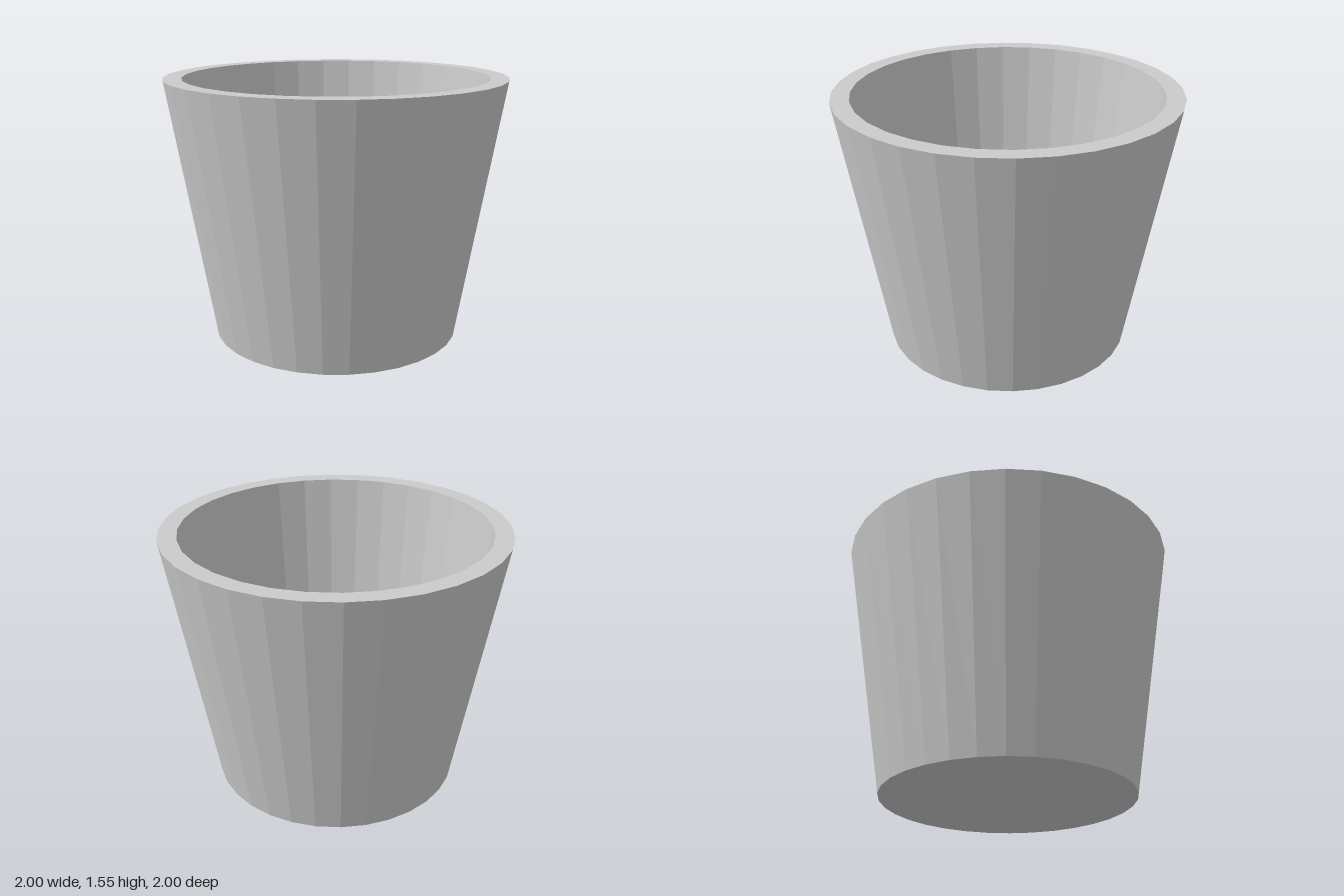
import * as THREE from 'three';

const SIDES = 32;
const HEIGHT = 1.55;
const FLOOR = 0.14;
const R = { base: 0.74, rim: 1, innerRim: 0.893, floor: 0.735 };

export function createModel() {
  const group = new THREE.Group();
  group.name = 'pot';
  const material = new THREE.MeshStandardMaterial({ color: 0xcccccc, flatShading: true });

  // Each part is a faceted band revolved between profile points (radius, height).
  const addBand = (name, ...profile) => {
    const points = profile.map(([r, y]) => new THREE.Vector2(r, y));
    const mesh = new THREE.Mesh(new THREE.LatheGeometry(points, SIDES), material);
    mesh.name = name;
    group.add(mesh);
  };

  // Underside and tapered outer wall
  addBand('base', [0, 0], [R.base, 0]);
  addBand('outerWall', [R.base, 0], [R.rim, HEIGHT]);
  // Flat rim
  addBand('rim', [R.rim, HEIGHT], [R.innerRim, HEIGHT]);
  // Hollow inside
  addBand('innerWall', [R.innerRim, HEIGHT], [R.floor, FLOOR]);
  addBand('innerFloor', [R.floor, FLOOR], [0, FLOOR]);

  return group;
}
